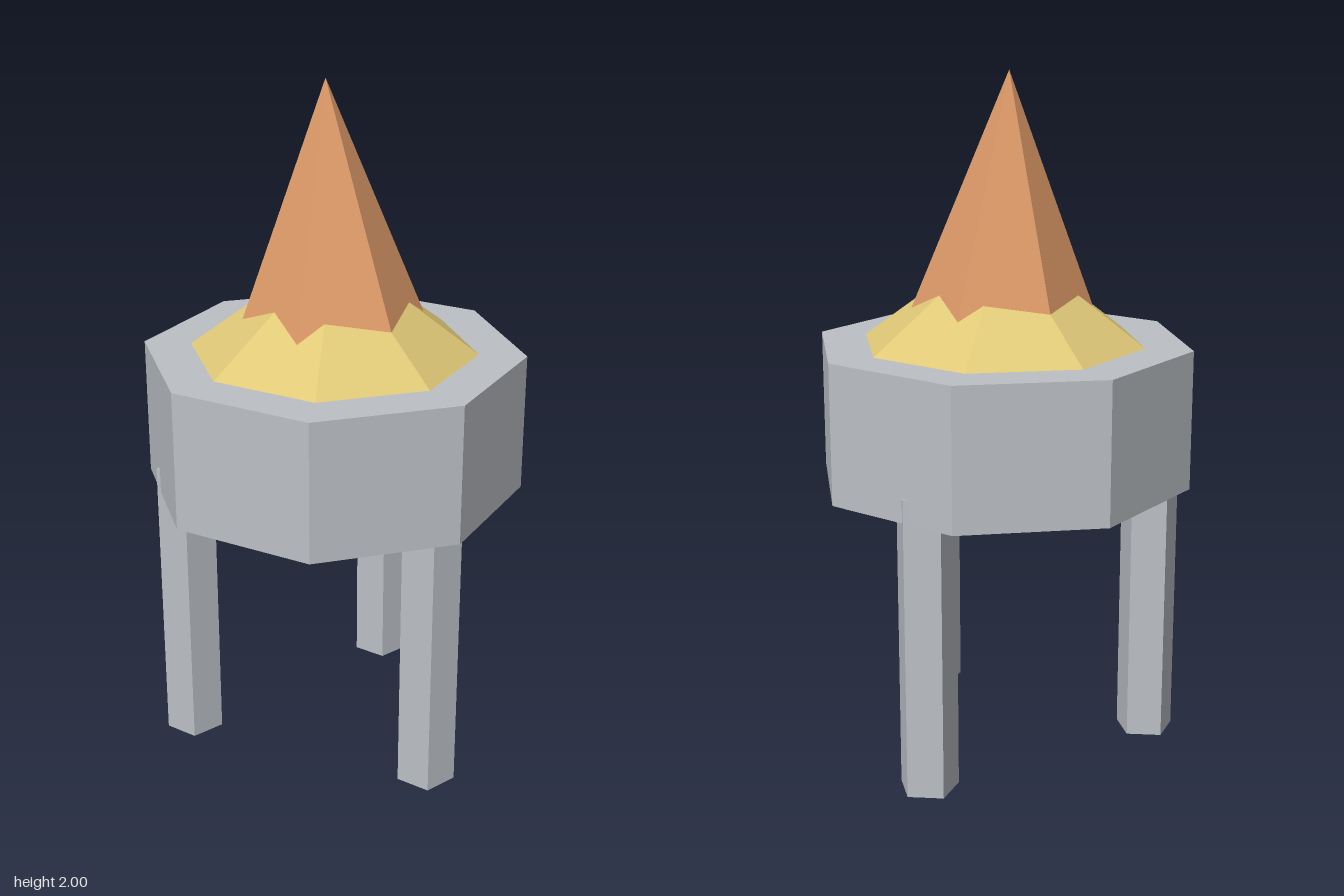
import * as THREE from 'three';

const grey = new THREE.MeshStandardMaterial({ color: 0xbcc0c6 });
grey.name = 'pale grey';
const yellow = new THREE.MeshStandardMaterial({ color: 0xdfc877 });
yellow.name = 'straw yellow';
const orange = new THREE.MeshStandardMaterial({ color: 0xdd9a68 });
orange.name = 'flame orange';

// Faceted cylinder or cone standing on y = 0, first corner turned by `turn` from +z
function prism(name, material, topRadius, bottomRadius, height, sides, turn = 0) {
  const geometry = new THREE.CylinderGeometry(topRadius, bottomRadius, height, sides)
    .translate(0, height / 2, 0)
    .rotateY(turn)
    .toNonIndexed();
  geometry.computeVertexNormals(); // one flat normal per face
  const mesh = new THREE.Mesh(geometry, material);
  mesh.name = name;
  return mesh;
}

export function createModel() {
  const model = new THREE.Group();
  model.name = 'brazier';

  // Three five-sided legs, all turned the same way, reaching up into the bowl
  const legs = new THREE.Group();
  legs.name = 'legs';
  for (let i = 0; i < 3; i++) {
    const angle = (i * Math.PI * 2) / 3;
    const leg = prism('leg', grey, 0.088, 0.088, 0.885, 5, -Math.PI / 2);
    leg.position.set(Math.cos(angle) * 0.44, 0, Math.sin(angle) * 0.44);
    legs.add(leg);
  }
  model.add(legs);

  // Eight-sided bowl
  const bowl = prism('bowl', grey, 0.558, 0.558, 0.41, 8);
  bowl.position.y = 0.815;
  model.add(bowl);

  // Low heap of embers
  const embers = prism('embers', yellow, 0, 0.42, 0.31, 8);
  embers.position.y = 1.225;
  model.add(embers);

  // Six-sided flame, leaning slightly to the right
  const flame = prism('flame', orange, 0, 0.289, 0.741, 6, Math.PI / 2);
  flame.position.y = 1.26;
  flame.rotation.z = 0.047;
  model.add(flame);

  return model;
}
